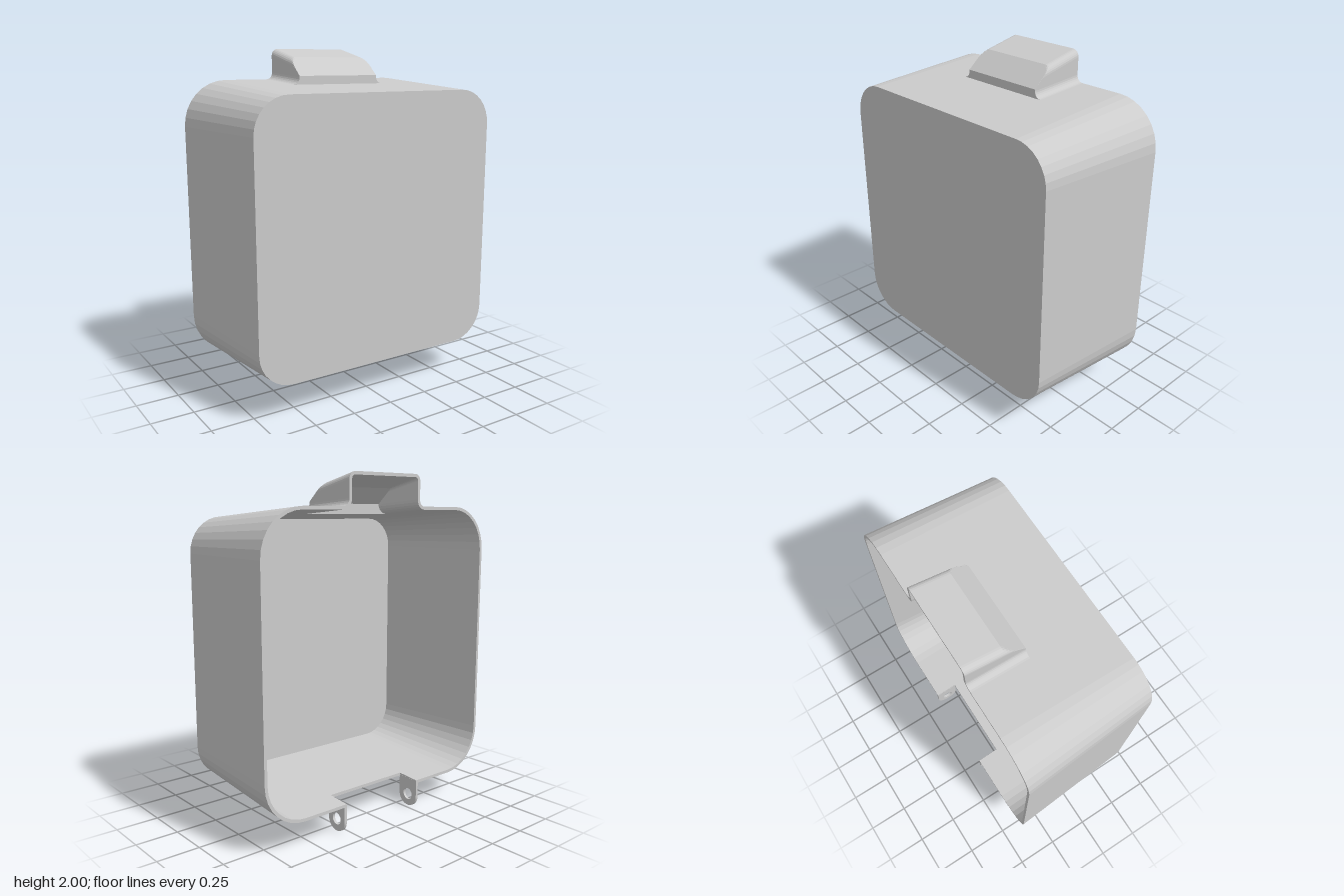
import * as THREE from 'three';

const BACK = -0.39, FRONT = 0.39, CY = 0.99, WALL = 0.018;
const CORNER = 0.57;      // centre of the corner arcs
const HOOD_X = 0.305;     // half width of the hood opening
const HOOD_FRONT = -0.05;
const NOTCH_X = 0.28, NOTCH_Z = -0.25;

const material = new THREE.MeshStandardMaterial({ color: 0xcccccc, flatShading: true });

// half size of the tapered shell at depth z
const half = z => THREE.MathUtils.mapLinear(z, BACK, FRONT, 0.83, 0.775);

function arc(cx, cy, r, from, to, n = 8) {
  return Array.from({ length: n + 1 }, (_, i) => {
    const a = THREE.MathUtils.degToRad(from + (to - from) * i / n);
    return [cx + r * Math.cos(a), cy + r * Math.sin(a)];
  });
}
const mirrored = pts => pts.map(([x, y]) => [-x, y]).reverse();

// Walled strip: path(z, inset) runs clockwise seen from the front
function ribbon(name, stations, path) {
  const outer = stations.map(z => path(z, 0).map(([x, y]) => [x, y, z]));
  const inner = stations.map(z => path(z, WALL).map(([x, y]) => [x, y, z]));
  const pos = [];
  const quad = (a, b, c, d) => pos.push(...a, ...b, ...c, ...a, ...c, ...d);
  const m = stations.length - 1, n = outer[0].length - 1;
  for (let j = 0; j < m; j++) {
    const o = outer[j], p = outer[j + 1], q = inner[j], r = inner[j + 1];
    for (let i = 0; i < n; i++) {
      quad(o[i], p[i], p[i + 1], o[i + 1]);
      quad(q[i], q[i + 1], r[i + 1], r[i]);
    }
    quad(q[0], r[0], p[0], o[0]);
    quad(q[n], o[n], p[n], r[n]);
  }
  for (let i = 0; i < n; i++) {
    quad(inner[m][i], inner[m][i + 1], outer[m][i + 1], outer[m][i]);
    quad(inner[0][i], outer[0][i], outer[0][i + 1], inner[0][i + 1]);
  }
  const geo = new THREE.BufferGeometry();
  geo.setAttribute('position', new THREE.Float32BufferAttribute(pos, 3));
  geo.computeVertexNormals();
  return named(name, geo);
}

function named(name, geo) {
  const mesh = new THREE.Mesh(geo, material);
  mesh.name = name;
  return mesh;
}

function plate(points, depth, z) {
  const shape = new THREE.Shape(points.map(([x, y]) => new THREE.Vector2(x, y)));
  return new THREE.ExtrudeGeometry(shape, { depth, bevelEnabled: false }).translate(0, 0, z);
}

// right-hand C of the rounded square, without its ends
function corners(s) {
  const r = s - CORNER;
  return [...arc(CORNER, CY + CORNER, r, 90, 0), ...arc(CORNER, CY - CORNER, r, 0, -90)];
}
function sidePath(z, inset) {
  const s = half(z) - inset;
  return [[HOOD_X, CY + s], ...corners(s), [NOTCH_X, CY - s]];
}

// Hood section: flared foot, upright side, rounded top, cut by the front slope
function hoodPath(z, inset) {
  const base = CY + half(z) - inset;
  const top = THREE.MathUtils.mapLinear(z, BACK, -0.17, 2.0, 1.95) - inset;
  const cut = THREE.MathUtils.mapLinear(z, -0.17, HOOD_FRONT, 1.95, 1.845) - inset * 1.3;
  const foot = 0.04 + inset, round = 0.04 - inset, w = 0.265 - inset;
  const right = [
    ...arc(w - round, top - round, round, 90, 0, 6),
    ...arc(HOOD_X, base + foot, foot, 180, 270, 6),
  ].map(([x, y]) => [x, Math.min(y, cut)]);
  return [...mirrored(right), ...right];
}

export function createModel() {
  const model = new THREE.Group();
  model.name = 'openBackCover';

  // Shell walls, leaving the hood opening on top and the notch below
  model.add(
    ribbon('leftWall', [BACK, FRONT], sidePath),
    ribbon('rightWall', [BACK, FRONT], (z, t) => mirrored(sidePath(z, t))),
    ribbon('topWall', [HOOD_FRONT, FRONT], (z, t) => {
      const y = CY + half(z) - t;
      return [[-HOOD_X, y], [HOOD_X, y]];
    }),
    ribbon('bottomWall', [NOTCH_Z, FRONT], (z, t) => {
      const y = CY - half(z) + t;
      return [[NOTCH_X, y], [-NOTCH_X, y]];
    }),
  );

  // Front panel, set between the walls
  const rim = corners(half(FRONT) - WALL);
  model.add(named('frontPanel', plate([...rim, ...mirrored(rim)], WALL, FRONT - WALL)));

  // Hood on the top and its short front lip
  model.add(ribbon('hood', [BACK, -0.17, -0.155, -0.14, -0.125, -0.11, HOOD_FRONT], hoodPath));
  const lipBase = CY + half(HOOD_FRONT) - WALL;
  const lip = [...hoodPath(HOOD_FRONT, 0), [HOOD_X, lipBase], [-HOOD_X, lipBase]];
  model.add(named('hoodLip', plate(lip, WALL, HOOD_FRONT - WALL)));

  // Hinge ears with pin holes on both sides of the notch
  const ear = new THREE.Shape();
  ear.moveTo(0.25, 0.175);
  ear.lineTo(0.25, 0.07);
  ear.absarc(0.32, 0.07, 0.07, Math.PI, 2 * Math.PI, false);
  ear.lineTo(0.39, 0.175);
  ear.closePath();
  ear.holes.push(new THREE.Path().absarc(0.32, 0.073, 0.035, 0, 2 * Math.PI, true));
  for (const [name, x] of [['leftEar', 0.279], ['rightEar', -0.295]]) {
    const geo = new THREE.ExtrudeGeometry(ear, { depth: 0.016, bevelEnabled: false, curveSegments: 16 });
    model.add(named(name, geo.rotateY(Math.PI / 2).translate(x, 0, 0)));
  }
  return model;
}
